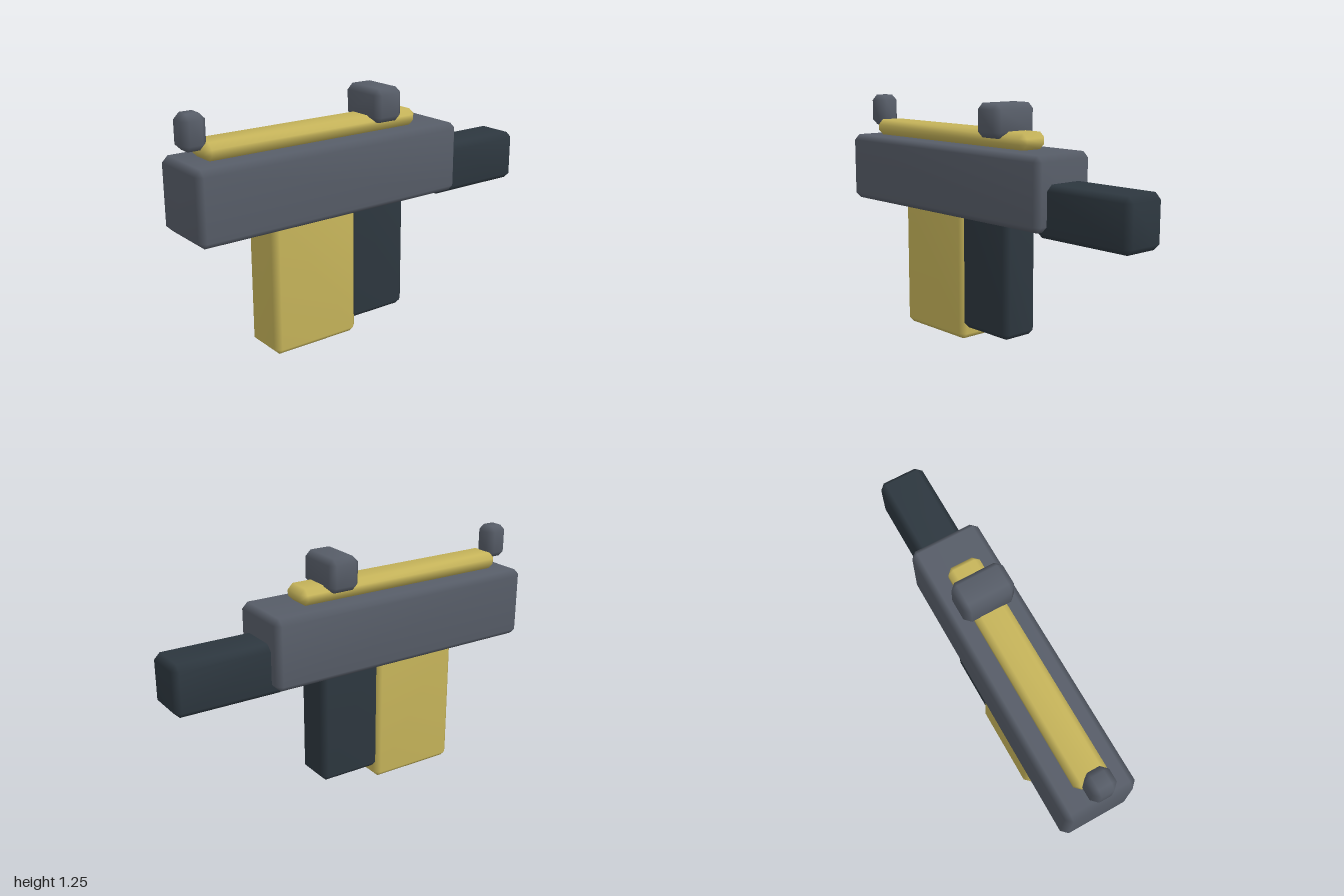
import * as THREE from 'three';

const mats = {
  grey: new THREE.MeshStandardMaterial({ name: 'slate grey', color: 0x575d68 }),
  yellow: new THREE.MeshStandardMaterial({ name: 'mustard yellow', color: 0xc6b45a }),
  dark: new THREE.MeshStandardMaterial({ name: 'dark blue grey', color: 0x2d373f }),
};

// Box with single 45 degree chamfers, smooth-shaded over shared corners
function chamferBox(w, h, d, b) {
  const half = [w / 2, h / 2, d / 2];
  const pos = [], index = [];
  // three vertices per corner, one on each of its three faces
  for (let c = 0; c < 8; c++)
    for (let face = 0; face < 3; face++)
      for (let k = 0; k < 3; k++)
        pos.push((c >> k & 1 ? 1 : -1) * (half[k] - (k === face ? 0 : b)));
  const point = (i) => new THREE.Vector3().fromArray(pos, i * 3);
  const tri = (i, j, k) => {
    const [p, q, r] = [i, j, k].map(point);
    const n = q.clone().sub(p).cross(r.clone().sub(p));
    const outward = n.dot(p.add(q).add(r)) > 0;
    index.push(...(outward ? [i, j, k] : [i, k, j]));
  };
  const quad = (i, j, k, l) => { tri(i, j, k); tri(i, k, l); };
  for (let a = 0; a < 3; a++) {
    const u = (a + 1) % 3, v = (a + 2) % 3;
    const U = 1 << u, V = 1 << v, A = 1 << a;
    // flat sides
    for (const s of [0, A])
      quad(s * 3 + a, (s + U) * 3 + a, (s + U + V) * 3 + a, (s + V) * 3 + a);
    // chamfers along the edges parallel to this axis
    for (const c of [0, U, V, U + V])
      quad(c * 3 + u, (c + A) * 3 + u, (c + A) * 3 + v, c * 3 + v);
  }
  // corner triangles
  for (let c = 0; c < 8; c++) tri(c * 3, c * 3 + 1, c * 3 + 2);
  const g = new THREE.BufferGeometry();
  g.setAttribute('position', new THREE.Float32BufferAttribute(pos, 3));
  g.setIndex(index);
  g.computeVertexNormals();
  return g;
}

export function createModel() {
  const model = new THREE.Group();
  model.name = 'toyBlaster';

  // part from its width and its y and z ranges, centred on x = 0
  const part = (name, mat, width, [y0, y1], [z0, z1], bevel = 0.03) => {
    const mesh = new THREE.Mesh(chamferBox(width, y1 - y0, z1 - z0, bevel), mat);
    mesh.name = name;
    mesh.position.set(0, (y0 + y1) / 2, (z0 + z1) / 2);
    model.add(mesh);
  };

  part('body', mats.grey, 0.365, [0.663, 1.025], [-0.51, 1]);
  part('rearStock', mats.dark, 0.24, [0.63, 0.89], [-1, -0.42]);
  part('frontBlock', mats.yellow, 0.242, [0, 0.75], [0.1, 0.59]);
  part('grip', mats.dark, 0.215, [0.065, 0.75], [-0.22, 0.13]);
  part('topRail', mats.yellow, 0.17, [1.025, 1.11], [-0.31, 0.9], 0.028);
  part('rearSight', mats.grey, 0.268, [1.075, 1.245], [-0.18, -0.012]);
  part('frontSight', mats.grey, 0.122, [1.075, 1.245], [0.87, 0.992]);

  return model;
}
